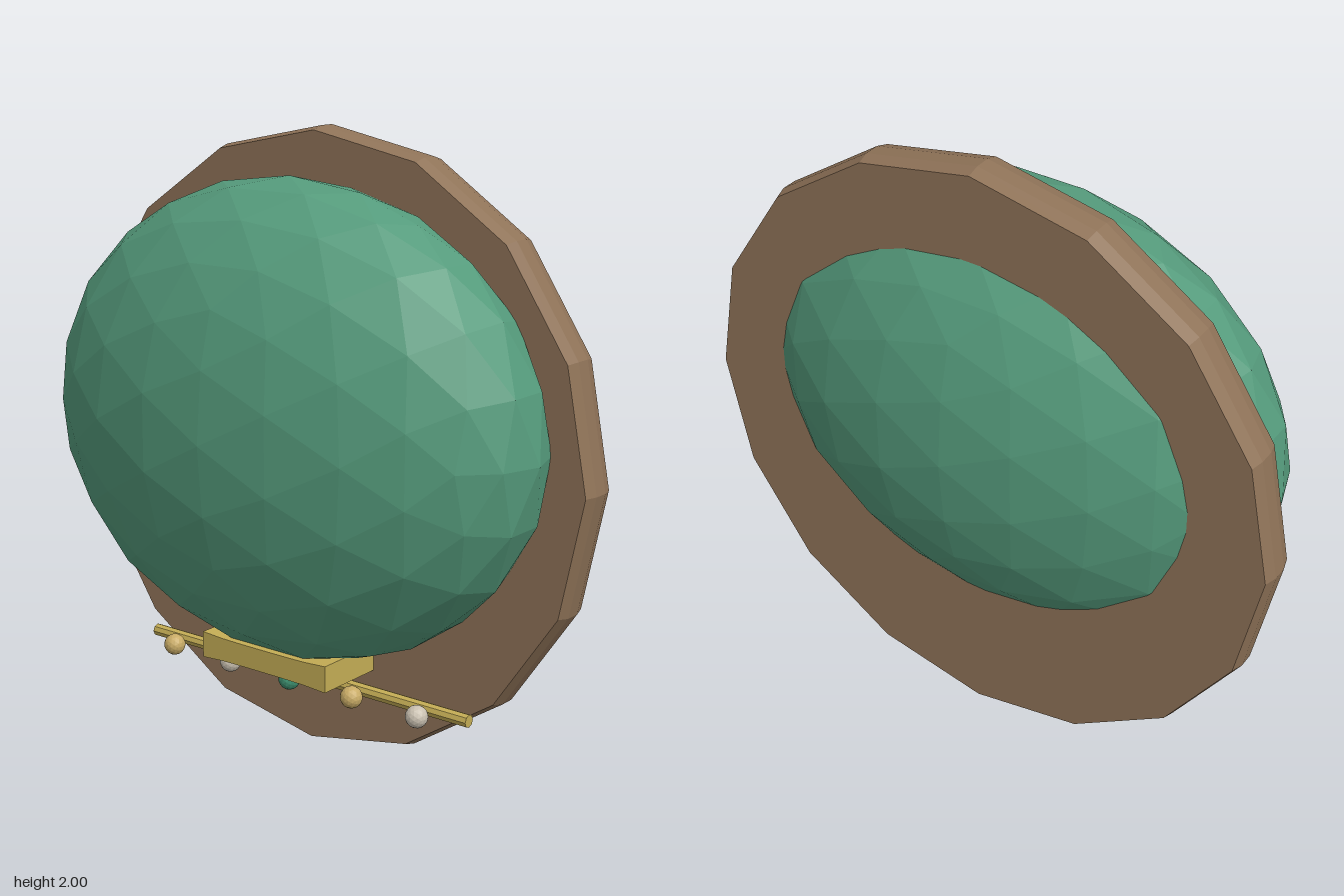
import * as THREE from 'three';

const mat = (name, color) => {
  const m = new THREE.MeshStandardMaterial({ color, flatShading: true });
  m.name = name;
  return m;
};

export function createModel() {
  const group = new THREE.Group();
  const wood = mat('brown wood', 0x8f7358);
  const green = mat('jade green', 0x559b7c);
  const gold = mat('gold', 0xc4ad55);
  const tan = mat('tan bead', 0xc8ab66);
  const pearl = mat('pearl', 0xc9c0b0);
  const beadGreen = mat('deep green bead', 0x3f9372);

  const add = (name, geometry, material, x, y, z) => {
    const mesh = new THREE.Mesh(geometry, material);
    mesh.name = name;
    mesh.position.set(x, y, z);
    group.add(mesh);
    return mesh;
  };

  // Sixteen-sided back board with a slightly swollen rim
  const profile = [[0, -0.066], [0.988, -0.066], [1, -0.025], [1, 0.025], [0.988, 0.066], [0, 0.066]];
  const board = new THREE.LatheGeometry(profile.map(p => new THREE.Vector2(...p)), 16);
  board.rotateX(Math.PI / 2);
  add('backBoard', board, wood, 0, 1, -0.182);

  // Faceted domed shell passing through the board
  const shell = new THREE.IcosahedronGeometry(1, 3);
  shell.scale(0.905, 0.755, 0.43);
  add('shell', shell, green, 0, 1.105, 0);

  // Gold clasp, gently pinched between its corners
  const clasp = new THREE.BoxGeometry(0.5, 0.08, 0.27, 6, 1, 3);
  const p = clasp.attributes.position;
  for (let i = 0; i < p.count; i++) {
    const end = Math.abs(p.getX(i)) / 0.25;
    p.setY(i, p.getY(i) * (0.92 + 0.16 * end ** 4));
  }
  clasp.computeVertexNormals();
  add('clasp', clasp, gold, 0, 0.348, 0);

  // Thin rod across the lower edge
  const rod = new THREE.CylinderGeometry(0.021, 0.021, 1.29, 8);
  rod.rotateZ(Math.PI / 2);
  add('rod', rod, gold, 0, 0.25, -0.07);

  // Row of beads
  [tan, pearl, beadGreen, tan, pearl].forEach((m, i) => {
    add('bead' + (i + 1), new THREE.IcosahedronGeometry(0.036, 2), m, (i - 2) * 0.25, 0.25, 0);
  });

  return group;
}
